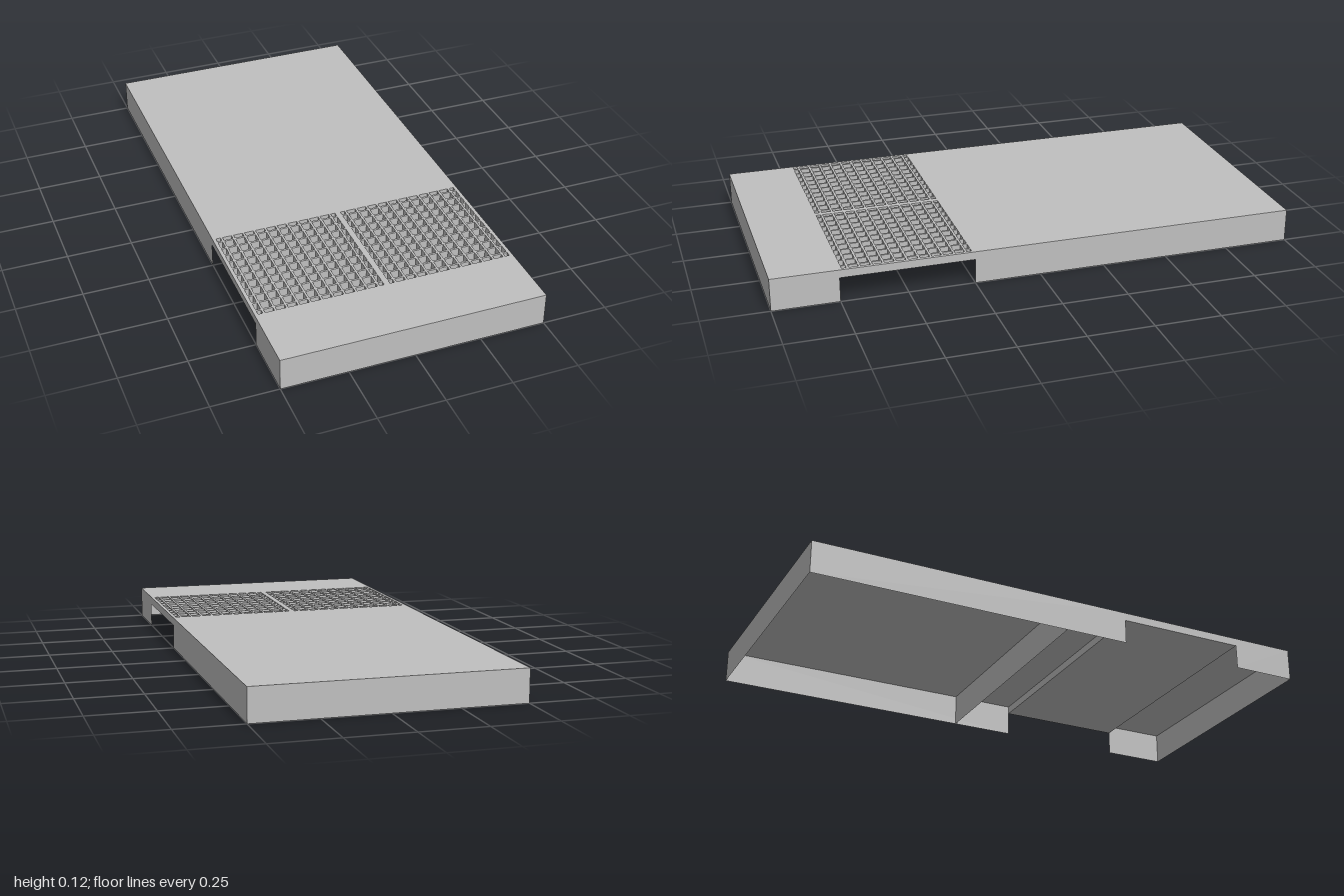
import * as THREE from 'three';

const H = 0.125;        // deck height
const TRAY = 0.094;     // underside of the grated tray
const Z0 = 0.25, Z1 = 0.75; // tray span

export function createModel() {
  const group = new THREE.Group();
  const concrete = new THREE.MeshStandardMaterial({ color: 0xc0c0c0, side: THREE.DoubleSide });
  concrete.name = 'light grey concrete';

  const add = (name, geometry) => {
    const mesh = new THREE.Mesh(geometry, concrete);
    mesh.name = name;
    group.add(mesh);
    return mesh;
  };

  // Thin horizontal sheet facing up
  const sheet = (name, y, za, zb) =>
    add(name, new THREE.PlaneGeometry(1, zb - za).rotateX(-Math.PI / 2).translate(0, y, (za + zb) / 2));

  // Cross wall at a given z; turned to face the back when needed
  const crossWall = (name, z, facesBack) =>
    add(name, new THREE.PlaneGeometry(1, H).rotateY(facesBack ? Math.PI : 0).translate(0, H / 2, z));

  // Hollow deck, open underneath
  sheet('rearDeck', H, -1, Z0);
  sheet('frontDeck', H, Z1, 1);
  crossWall('frontWall', 1, false);
  crossWall('middleWall', 0, true);
  crossWall('backWall', -1, true);
  for (const side of [-1, 1]) {
    for (const [name, za, zb] of [['rearSideWall', -1, Z0], ['frontSideWall', Z1, 1]]) {
      add(name, new THREE.PlaneGeometry(zb - za, H)
        .rotateY(side * Math.PI / 2)
        .translate(side * 0.5, H / 2, (za + zb) / 2));
    }
  }

  // Tray slab pierced by two square grids; half cells along the borders
  const slab = new THREE.Shape([
    new THREE.Vector2(-0.5, -Z1), new THREE.Vector2(0.5, -Z1),
    new THREE.Vector2(0.5, -Z0), new THREE.Vector2(-0.5, -Z0),
  ]);
  const bars = 11, barWidth = 0.008;
  const cells = (start, end) => {
    const pitch = (end - start) / bars, list = [];
    for (let i = 0; i <= bars; i++) {
      const a = i === 0 ? start : start + (i - 0.5) * pitch + barWidth / 2;
      const b = i === bars ? end : start + (i + 0.5) * pitch - barWidth / 2;
      list.push([a, b]);
    }
    return list;
  };
  const rows = cells(-0.74, -0.26);
  for (const [xa, xb] of [[-0.487, -0.011], [0.011, 0.487]]) {
    for (const [a, b] of cells(xa, xb)) {
      for (const [c, d] of rows) {
        slab.holes.push(new THREE.Path([
          new THREE.Vector2(a, c), new THREE.Vector2(a, d),
          new THREE.Vector2(b, d), new THREE.Vector2(b, c),
        ]));
      }
    }
  }
  add('drainGrating', new THREE.ExtrudeGeometry(slab, { depth: H - TRAY, bevelEnabled: false })
    .rotateX(-Math.PI / 2).translate(0, TRAY, 0));

  // Closed floor below the grating
  sheet('trayFloor', TRAY, Z0, Z1);

  return group;
}
